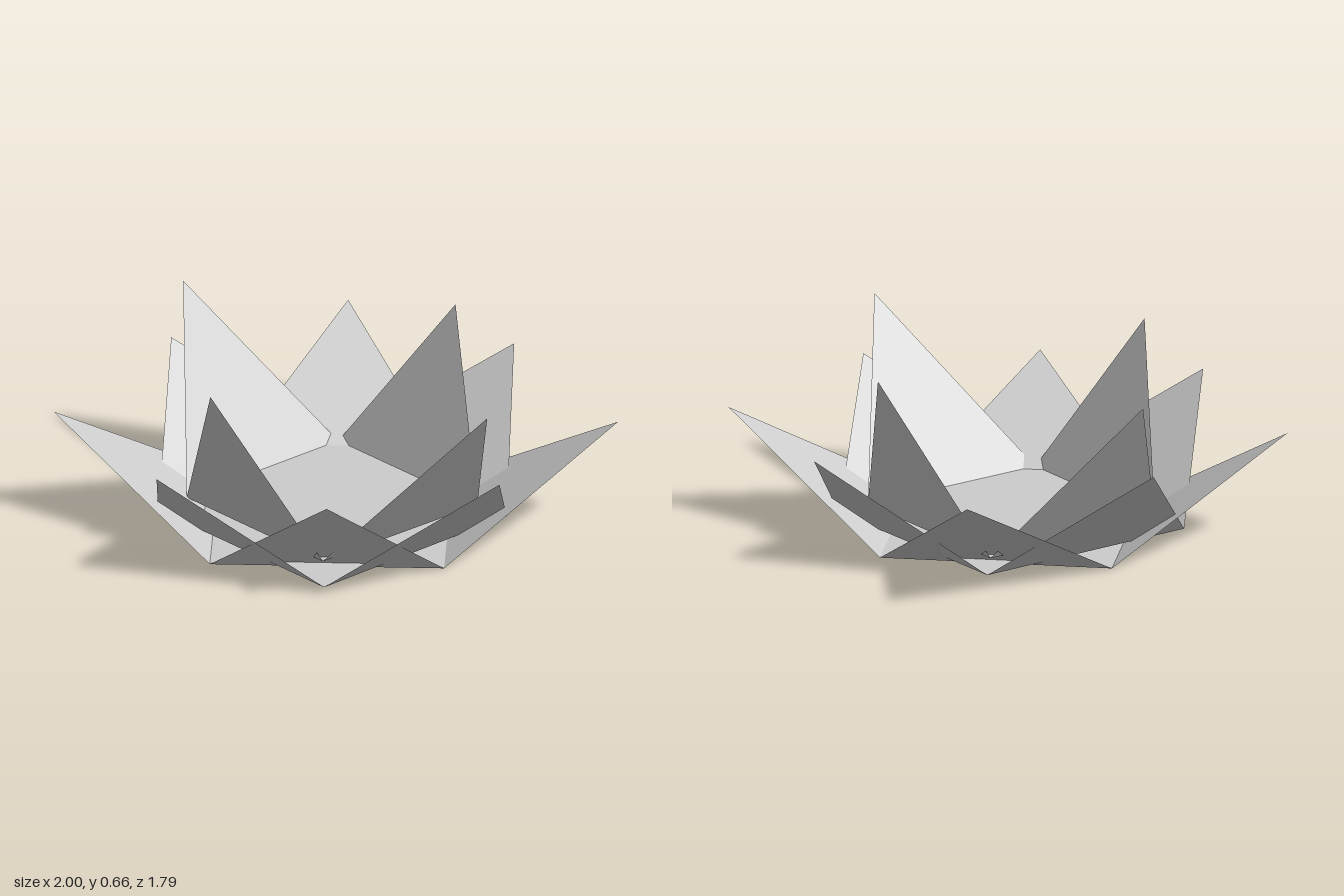
import * as THREE from 'three';

// One flat, sharp triangle or quad sheet from corner points
function sheet(name, corners, material) {
  const geometry = new THREE.BufferGeometry();
  const points = [];
  for (let i = 1; i < corners.length - 1; i++) {
    points.push(...corners[0], ...corners[i], ...corners[i + 1]);
  }
  geometry.setAttribute('position', new THREE.Float32BufferAttribute(points, 3));
  geometry.computeVertexNormals();
  const mesh = new THREE.Mesh(geometry, material);
  mesh.name = name;
  return mesh;
}

// A ring of four petals: a square floor with a triangular petal on each edge.
// Corners and tips are [x, z]; tips[i] belongs to the edge from corner i to i + 1.
function petalRing(name, y, corners, tipY, tips, material) {
  const ring = new THREE.Group();
  ring.name = name;
  const base = corners.map(([x, z]) => [x, y, z]);
  ring.add(sheet(name + 'Floor', base, material));
  tips.forEach(([x, z], i) => {
    ring.add(sheet(name + 'Petal', [base[(i + 1) % 4], base[i], [x, tipY, z]], material));
  });
  return ring;
}

export function createModel() {
  const flower = new THREE.Group();
  flower.name = 'lotusFlower';
  const petalGrey = new THREE.MeshStandardMaterial({ color: 0xcccccc, side: THREE.DoubleSide });
  petalGrey.name = 'petalGrey';

  // Low outer petals pointing along the axes
  flower.add(petalRing('outer', 0,
    [[-0.43, 0.5], [0.4, 0.5], [0.4, -0.3], [-0.43, -0.3]],
    0.4, [[0, 0.89], [1, 0.1], [0, -0.9], [-1, 0.1]], petalGrey));

  // Middle petals pointing along the diagonals
  flower.add(petalRing('middle', 0.025,
    [[-0.015, 0.735], [0.605, 0.1], [-0.015, -0.51], [-0.63, 0.1]],
    0.42, [[0.605, 0.7], [0.605, -0.51], [-0.61, -0.51], [-0.61, 0.705]], petalGrey));

  // Tall inner petals of uneven lean
  flower.add(petalRing('inner', 0.063,
    [[-0.025, 0.597], [0.5, 0.093], [-0.015, -0.435], [-0.53, 0.073]],
    0.66, [[0.56, 0.662], [0.406, -0.307], [-0.566, -0.467], [-0.427, 0.522]], petalGrey));

  return flower;
}
